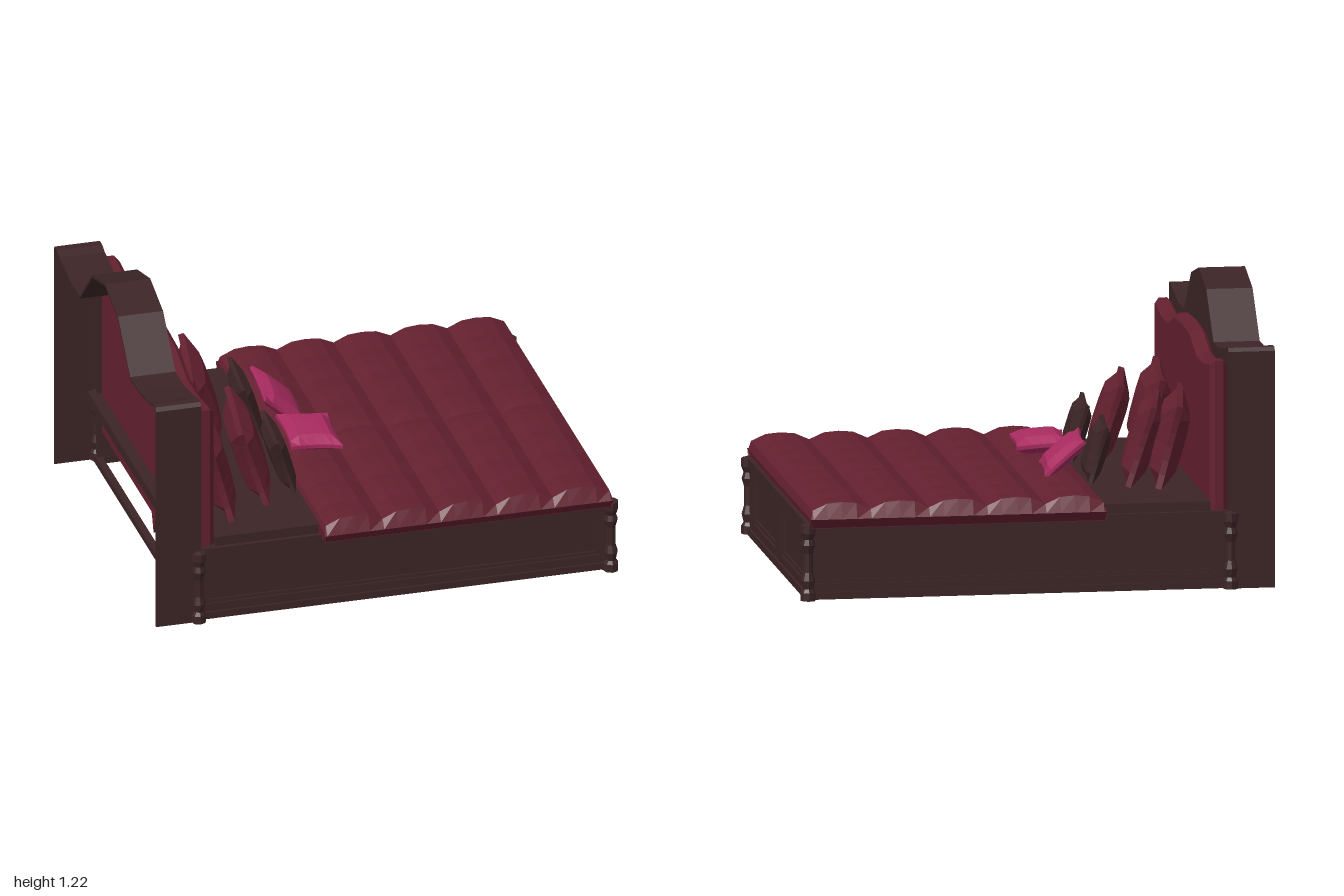
import * as THREE from 'three';

const mat = (name, color) => {
  const m = new THREE.MeshStandardMaterial({ color, flatShading: true, side: THREE.DoubleSide });
  m.name = name;
  return m;
};

export function createModel() {
  const wood = mat('dark wood', 0x3c2425);
  const maroon = mat('maroon fabric', 0x63202f);
  const pink = mat('pink fabric', 0xa92b60);
  const bed = new THREE.Group();
  bed.name = 'bed';

  const add = (parent, name, geo, material, x = 0, y = 0, z = 0) => {
    const m = new THREE.Mesh(geo, material);
    m.name = name;
    m.position.set(x, y, z);
    parent.add(m);
    return m;
  };
  const box = (parent, name, material, x0, x1, y0, y1, z0, z1) =>
    add(parent, name, new THREE.BoxGeometry(x1 - x0, y1 - y0, z1 - z0), material,
      (x0 + x1) / 2, (y0 + y1) / 2, (z0 + z1) / 2);

  // Mirrored outline: half profile from the outer foot to the centre top
  const mirror = (half) => [
    ...half,
    ...half.slice().reverse().filter(([a]) => a > 0).map(([a, b]) => [-a, b]),
  ].map(([a, b]) => new THREE.Vector2(a, b));
  // Shape drawn across the bed, extruded along x
  const acrossBed = (shape, x0, depth, bevel = 0) => {
    const g = new THREE.ExtrudeGeometry(shape, {
      depth, bevelEnabled: bevel > 0, bevelThickness: bevel, bevelSize: bevel, bevelOffset: -bevel, bevelSegments: 1,
    });
    return g.rotateY(Math.PI / 2).translate(x0, 0, 0);
  };

  // Headboard: hollow arched surround, open at the back
  const outer = mirror([[0.79, 0], [0.79, 1.0], [0.775, 1.015], [0.74, 1.015], [0.7, 1.0],
    [0.53, 0.97], [0.39, 0.97], [0.2, 1.16], [0, 1.215]]);
  const inner = mirror([[0.78, 0], [0.78, 0.99], [0.77, 1.005], [0.74, 1.005], [0.7, 0.99],
    [0.53, 0.96], [0.387, 0.96], [0.195, 1.15], [0, 1.205]]);
  const opening = mirror([[0.735, 0], [0.735, 0.93], [0.53, 0.9], [0.39, 0.9], [0.2, 0.96], [0, 0.98]]);
  const band = (a, b) => new THREE.Shape([...a, ...b.slice().reverse()]);
  add(bed, 'headboardSurround', acrossBed(band(outer, inner), -1, 0.19), wood);
  add(bed, 'headboardFace', acrossBed(band(outer, opening), -0.825, 0.02), wood);

  // Upholstered headboard panel with a small centre foot
  const panel = mirror([[0.745, 0.13], [0.745, 0.955], [0.7, 0.955], [0.53, 0.93],
    [0.39, 0.93], [0.2, 0.99], [0, 1.0]]);
  add(bed, 'headboardPanel', acrossBed(new THREE.Shape(panel), -0.79, 0.035, 0.02), maroon);
  const footTip = [[-0.04, 0.14], [0, 0.03], [0.04, 0.14]].map(([a, b]) => new THREE.Vector2(a, b));
  add(bed, 'headboardPanelFoot', acrossBed(new THREE.Shape(footTip), -0.79, 0.03), maroon);

  // Panelled rail, facing +z, centred on x = 0
  const rect = (T, x0, x1, y0, y1) => new T([[x0, y0], [x1, y0], [x1, y1], [x0, y1]]
    .map(([x, y]) => new THREE.Vector2(x, y)));
  const rail = (name, length, openings) => {
    const g = new THREE.Group();
    g.name = name;
    const frame = rect(THREE.Shape, -length / 2, length / 2, 0, 0.32);
    for (const [x0, x1] of openings) {
      frame.holes.push(rect(THREE.Path, x0, x1, 0.065, 0.25));
      const trim = rect(THREE.Shape, x0, x1, 0.065, 0.25);
      trim.holes.push(rect(THREE.Path, x0 + 0.015, x1 - 0.015, 0.08, 0.235));
      add(g, 'panelTrim', new THREE.ExtrudeGeometry(trim, { depth: 0.012, bevelEnabled: false }), wood, 0, 0, -0.02);
      box(g, 'recessedPanel', wood, x0, x1, 0.065, 0.25, -0.026, -0.016);
    }
    add(g, 'railFrame', new THREE.ExtrudeGeometry(frame, { depth: 0.03, bevelEnabled: false }), wood, 0, 0, -0.03);
    box(g, 'topMoulding', wood, -length / 2, length / 2, 0.295, 0.325, -0.035, 0.01);
    box(g, 'baseMoulding', wood, -length / 2, length / 2, 0, 0.03, -0.035, 0.01);
    bed.add(g);
    return g;
  };
  for (const side of [1, -1]) {
    const r = rail('sideRail', 1.78, [[-0.85, 0.85]]);
    r.position.set(0.075, 0, side * 0.765);
    if (side < 0) r.rotation.y = Math.PI;
  }
  const foot = rail('footRail', 1.56, [[-0.66, -0.08], [0.08, 0.66]]);
  foot.position.x = 0.965;
  foot.rotation.y = Math.PI / 2;
  box(bed, 'headTopBar', wood, -0.86, -0.8, 0.28, 0.325, -0.77, 0.77);
  box(bed, 'headBottomBar', wood, -0.835, -0.805, 0, 0.03, -0.77, 0.77);

  // Turned corner posts
  const postProfile = [[0, 0], [0.032, 0], [0.032, 0.035], [0.022, 0.05], [0.03, 0.085], [0.02, 0.12],
    [0.02, 0.2], [0.03, 0.235], [0.022, 0.26], [0.032, 0.285], [0.032, 0.32], [0, 0.33]]
    .map(([r, y]) => new THREE.Vector2(r, y));
  for (const x of [-0.815, 0.965]) for (const z of [-0.785, 0.785])
    add(bed, 'cornerPost', new THREE.LatheGeometry(postProfile, 8), wood, x, 0, z);

  // Base and mattress
  box(bed, 'platform', wood, -0.81, 0.95, 0.3, 0.322, -0.765, 0.765);
  box(bed, 'mattress', wood, -0.735, 0.93, 0.315, 0.365, -0.755, 0.755);

  // Quilted blanket: puffed grid with a rolled edge on each side and at the foot
  const nx = 20, nz = 32;
  const xs = [[-0.28, 0.31], [-0.285, 0.36]], zs = [[-0.815, 0.31], [-0.845, 0.35]];
  for (let i = 0; i <= nx; i++) xs.push([-0.275 + i * 0.0613, 1]);
  xs.push([0.962, 0.35], [0.955, 0.32]);
  for (let j = 0; j <= nz; j++) zs.push([-0.815 + j * 1.63 / nz, 1]);
  zs.push([0.845, 0.35], [0.815, 0.31]);
  const quilt = new THREE.PlaneGeometry(1, 1, xs.length - 1, zs.length - 1);
  quilt.rotateX(-Math.PI / 2);
  const qp = quilt.attributes.position;
  const puff = (d, period) => Math.sqrt(Math.abs(Math.sin(Math.PI * d / period)));
  for (let k = 0; k < qp.count; k++) {
    const [x, cx] = xs[k % xs.length], [z, cz] = zs[Math.floor(k / xs.length)];
    const top = 0.385 + 0.033 * puff(x + 0.275, 0.2452) * (0.6 + 0.4 * puff(z, 0.225));
    qp.setXYZ(k, x, Math.min(top, cx, cz), z);
  }
  quilt.computeVertexNormals();
  add(bed, 'quiltedBlanket', quilt, maroon);
  for (const s of [1, -1])
    add(bed, 'blanketUnderside', new THREE.BoxGeometry(1.235, 0.006, 0.04), maroon, 0.3375, 0.311, s * 0.795);
  box(bed, 'blanketTuck', maroon, -0.29, -0.28, 0.296, 0.36, -0.76, 0.76);

  // Pillows: thin along x, pinched edges and pulled-out corners
  const pillow = (name, material, [w, h, t], [x, y, z], yaw, lean, roll = 0) => {
    const g = new THREE.BoxGeometry(t, h, w, 2, 6, 6);
    const p = g.attributes.position;
    const unit = (d, size) => Math.min(1, Math.max(-1, d * 2 / size));
    for (let k = 0; k < p.count; k++) {
      const u = unit(p.getZ(k), w), v = unit(p.getY(k), h);
      const fat = 0.2 + 0.8 * Math.sqrt((1 - u ** 4) * (1 - v ** 4));
      p.setXYZ(k, p.getX(k) * fat, p.getY(k) * (1 - 0.09 * (1 - u * u)), p.getZ(k) * (1 - 0.09 * (1 - v * v)));
    }
    g.computeVertexNormals();
    add(bed, name, g, material, x, y, z).rotation.set(roll, yaw, lean, 'YZX');
  };
  pillow('backPillow', maroon, [0.56, 0.36, 0.13], [-0.655, 0.55, 0.375], -0.1, 0.26);
  pillow('backPillow', maroon, [0.56, 0.36, 0.13], [-0.645, 0.55, -0.235], -0.16, 0.26);
  pillow('middlePillow', maroon, [0.46, 0.35, 0.12], [-0.475, 0.54, 0.31], -0.15, 0.32);
  pillow('middlePillow', maroon, [0.46, 0.35, 0.12], [-0.535, 0.54, -0.21], -0.18, 0.32);
  pillow('smallDarkPillow', wood, [0.32, 0.25, 0.08], [-0.34, 0.495, 0.315], -0.08, 0.3);
  pillow('smallDarkPillow', wood, [0.32, 0.25, 0.08], [-0.34, 0.495, -0.2], -0.08, 0.3);
  pillow('pinkLeaningPillow', pink, [0.32, 0.22, 0.07], [-0.2, 0.485, -0.195], -0.08, 0.85);
  pillow('pinkFlatPillow', pink, [0.31, 0.22, 0.08], [-0.155, 0.48, 0.135], -0.11, 1.5, 0.05);

  return bed;
}
